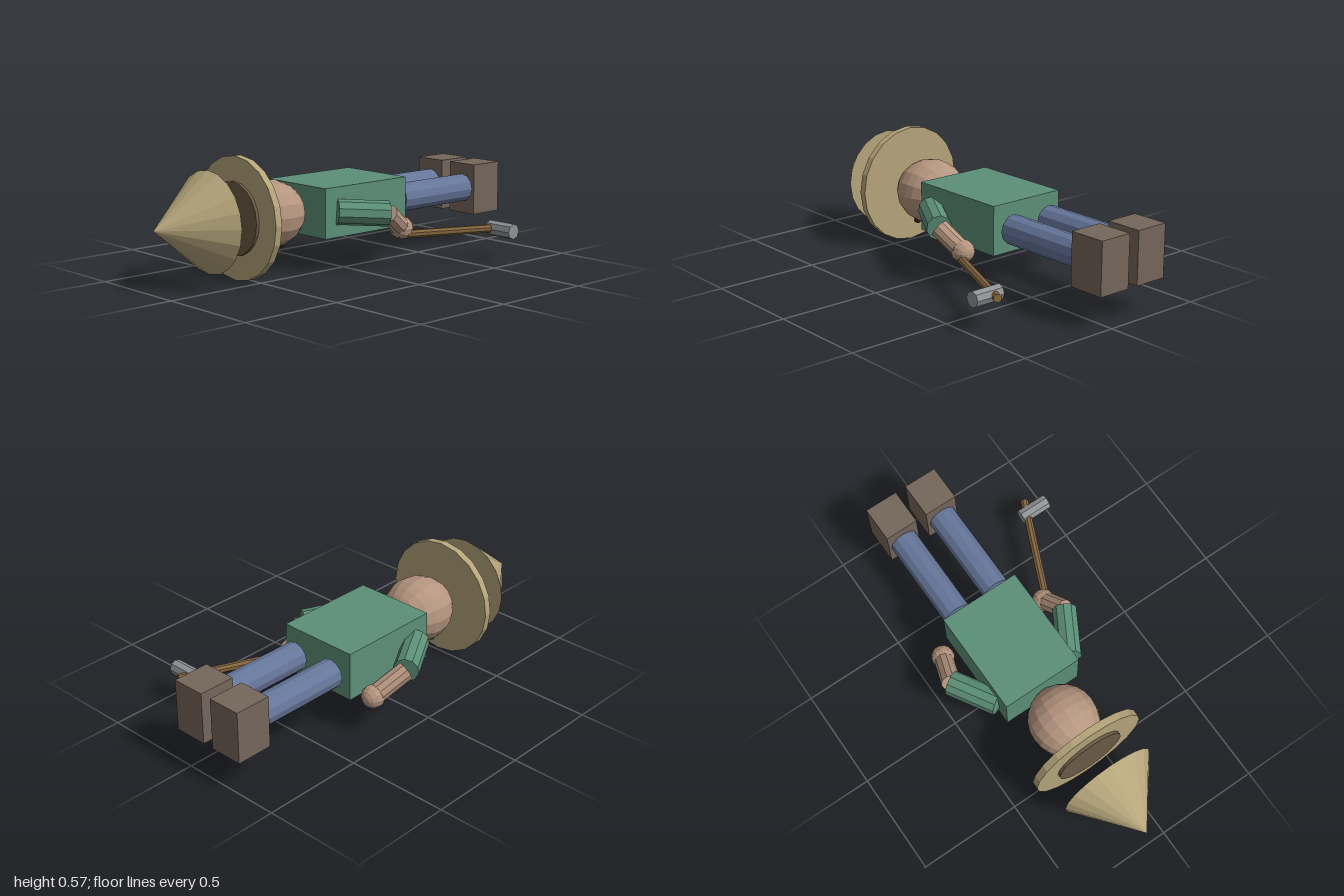
import * as THREE from 'three';

const mat = (name, color, flatShading = true) => {
  const m = new THREE.MeshStandardMaterial({ color });
  m.name = name;
  m.flatShading = flatShading;
  return m;
};

export function createModel() {
  const straw = mat('straw', 0xb5a57a);
  const bandBrown = mat('hat band brown', 0x6b5b45);
  const skin = mat('skin', 0xb5957f);
  const shirt = mat('shirt green', 0x5c9077);
  const denim = mat('trouser blue', 0x66769a);
  const leather = mat('boot brown', 0x75665a);
  const wood = mat('handle wood', 0x86673f);
  const steel = mat('steel', 0x909294);
  const brass = mat('button brass', 0xb0905a);
  const dark = mat('dark', 0x2c2622);

  const group = new THREE.Group();
  const CX = -0.12, CY = 0.285; // body axis, running along z

  const add = (name, geometry, material, x, y, z) => {
    const mesh = new THREE.Mesh(geometry, material);
    mesh.name = name;
    mesh.position.set(x, y, z);
    group.add(mesh);
    return mesh;
  };
  const box = (name, m, w, h, d, x, y, z) => add(name, new THREE.BoxGeometry(w, h, d), m, x, y, z);
  const ball = (name, m, r, x, y, z, ws = 12, hs = 8) =>
    add(name, new THREE.SphereGeometry(r, ws, hs).rotateX(Math.PI / 2), m, x, y, z);
  // Cylinder between two points
  const rod = (name, m, a, b, r, sides, rEnd = r) => {
    const p = new THREE.Vector3(...a), q = new THREE.Vector3(...b);
    const dir = q.clone().sub(p);
    const mid = p.clone().add(q).multiplyScalar(0.5);
    const mesh = add(name, new THREE.CylinderGeometry(rEnd, r, dir.length(), sides), m, mid.x, mid.y, mid.z);
    mesh.quaternion.setFromUnitVectors(new THREE.Vector3(0, 1, 0), dir.normalize());
    return mesh;
  };

  // Hat: floating cone, band and brim
  rod('hatCone', straw, [CX, 0.287, 0.7], [CX, 0.287, 1], 0.235, 20, 0);
  rod('hatBand', bandBrown, [CX, 0.287, 0.53], [CX, 0.287, 0.565], 0.17, 20);
  rod('hatBrim', straw, [CX, 0.287, 0.515], [CX, 0.287, 0.55], 0.285, 20);

  // Head and face (face looks down)
  ball('head', skin, 1, CX, CY, 0.355, 16, 12).scale.set(0.165, 0.157, 0.172);
  for (const s of [-1, 1]) ball('eye', dark, 0.019, CX + s * 0.058, 0.142, 0.39, 8, 6);
  box('mouth', dark, 0.08, 0.02, 0.012, CX, 0.135, 0.302);

  // Torso and buttons
  box('torso', shirt, 0.4, 0.235, 0.515, CX, 0.2875, -0.0725);
  for (const z of [0.07, -0.03, -0.13]) ball('button', brass, 0.016, CX, 0.17, z, 8, 6);

  // Legs and boots
  for (const s of [-1, 1]) {
    const x = CX + s * 0.11;
    rod('leg', denim, [x, 0.287, -0.83], [x, 0.287, -0.36], 0.07, 12);
    box('boot', leather, 0.165, 0.25, 0.18, x, 0.285, -0.91);
  }

  // Arms, each bent at the elbow, with slightly different hand positions
  for (const [s, handX, handZ] of [[1, 0.286, -0.218], [-1, 0.269, -0.254]]) {
    const elbow = [CX + s * 0.322, 0.272, -0.097];
    const hand = [CX + s * handX, 0.185, handZ];
    rod('upperArm', shirt, [CX + s * 0.2, 0.29, 0.115], elbow, 0.06, 10);
    rod('forearm', skin, elbow, hand, 0.046, 10);
    ball('hand', skin, 0.055, ...hand);
  }

  // Hammer
  rod('hammerHandle', wood, [0.17, 0.155, -0.19], [0.397, 0.155, -0.715], 0.02, 8);
  rod('hammerHead', steel, [0.335, 0.153, -0.652], [0.485, 0.153, -0.652], 0.037, 8);

  return group;
}
